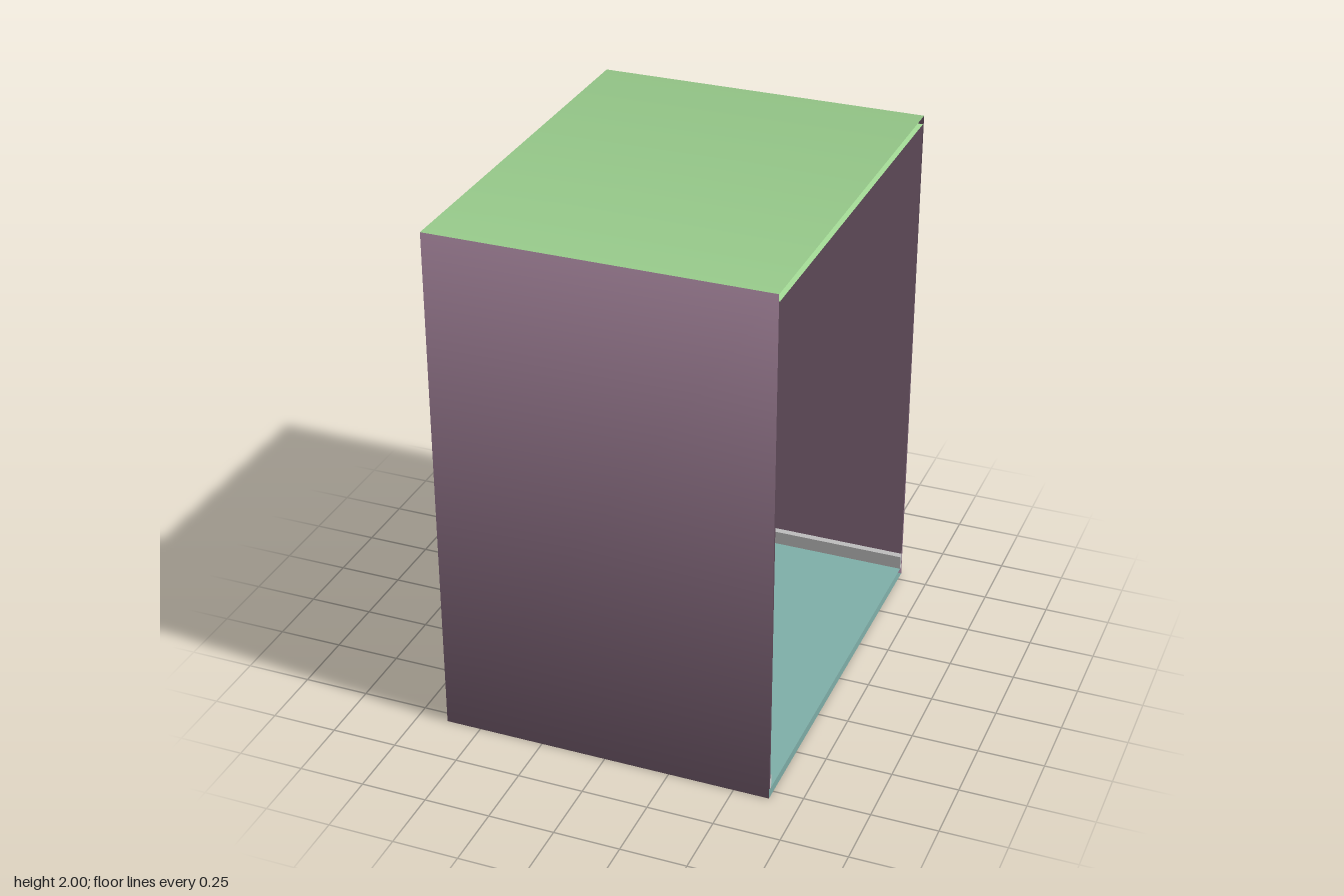
import * as THREE from 'three';

const X = 0.635, Z = 0.795, H = 2;                              // outer shell
const backX = -0.5, sideZ = 0.785, floorY = 0.035, ceilY = 1.97; // inner lining
const V = 0.2;                                                   // half size of the ceiling vent

const mat = (color) => new THREE.MeshStandardMaterial({ color, side: THREE.DoubleSide });
const purple = mat(0x907388), green = mat(0xa8e09a), teal = mat(0x80b0aa), grey = mat(0xcccccc);

export function createModel() {
  const room = new THREE.Group();
  room.name = 'room';

  function add(name, geometry, material, parent = room) {
    const mesh = new THREE.Mesh(geometry, material);
    mesh.name = name;
    parent.add(mesh);
    return mesh;
  }

  // Four-cornered panel, counter-clockwise; optional normals for soft shading
  function quad(corners, normals) {
    const g = new THREE.BufferGeometry();
    g.setAttribute('position', new THREE.Float32BufferAttribute(corners.flat(), 3));
    g.setIndex([0, 1, 2, 0, 2, 3]);
    if (normals) g.setAttribute('normal', new THREE.Float32BufferAttribute(normals.flat(), 3));
    else g.computeVertexNormals();
    return g;
  }

  // Outer shell: four panels around the x axis, softly shaded over the corners
  const ring = [[H, Z], [H, -Z], [0, -Z], [0, Z]];
  const panels = [['roof', green], ['outerBackWall', purple], ['underside', teal], ['outerFrontWall', purple]];
  const s = Math.SQRT1_2;
  panels.forEach(([name, material], i) => {
    const a = ring[i], b = ring[(i + 1) % 4];
    const na = [0, a[0] ? s : -s, Math.sign(a[1]) * s];
    const nb = [0, b[0] ? s : -s, Math.sign(b[1]) * s];
    add(name, quad([[-X, ...a], [X, ...a], [X, ...b], [-X, ...b]], [na, na, nb, nb]), material);
  });
  add('outerEndWall', quad([[-X, 0, -Z], [-X, 0, Z], [-X, H, Z], [-X, H, -Z]]), green);

  // Inner lining, open on the +x side
  add('floor', quad([[backX, floorY, sideZ], [X, floorY, sideZ], [X, floorY, -sideZ], [backX, floorY, -sideZ]]), teal);
  add('innerEndWall', quad([[backX, floorY, sideZ], [backX, floorY, -sideZ], [backX, ceilY, -sideZ], [backX, ceilY, sideZ]]), purple);
  add('innerBackWall', quad([[backX, floorY, -sideZ], [X, floorY, -sideZ], [X, ceilY, -sideZ], [backX, ceilY, -sideZ]]), purple);
  add('innerFrontWall', quad([[X, floorY, sideZ], [backX, floorY, sideZ], [backX, ceilY, sideZ], [X, ceilY, sideZ]]), purple);

  // Ceiling with a square opening for the vent
  const rect = (Type, x0, x1, z) => new Type([[x0, -z], [x1, -z], [x1, z], [x0, z]].map((p) => new THREE.Vector2(...p)));
  const ceilingShape = rect(THREE.Shape, backX, X, sideZ);
  ceilingShape.holes.push(rect(THREE.Path, -V, V, V));
  const ceiling = add('ceiling', new THREE.ShapeGeometry(ceilingShape).rotateX(Math.PI / 2), green);
  ceiling.position.y = ceilY;

  // Vent: backing plate, frame, slats and crossbars
  const vent = new THREE.Group();
  vent.name = 'ceilingVent';
  room.add(vent);
  const bar = (name, w, h, d, x, y, z) => add(name, new THREE.BoxGeometry(w, h, d), grey, vent).position.set(x, y, z);
  bar('ventBacking', 2 * V, 0.004, 2 * V, 0, 1.992, 0);
  for (const side of [-1, 1]) {
    bar('ventFrame', 0.016, 0.028, 2 * V, side * (V - 0.008), 1.98, 0);
    bar('ventFrame', 2 * V, 0.028, 0.016, 0, 1.98, side * (V - 0.008));
  }
  for (let i = 0; i < 9; i++) bar('ventSlat', 0.024, 0.008, 2 * V - 0.03, -0.16 + i * 0.04, 1.974, 0);
  for (let i = -1; i <= 1; i++) bar('ventCrossbar', 2 * V - 0.03, 0.014, 0.012, 0, 1.979, i * 0.1);

  // Skirting boards with a bevelled top edge
  const profile = new THREE.Shape([[0, 0], [0.012, 0], [0.012, 0.055], [0, 0.065]].map((p) => new THREE.Vector2(...p)));
  const boards = [
    ['endSkirting', 2 * sideZ, 0, backX, -sideZ],
    ['frontSkirting', X - backX, Math.PI / 2, backX, sideZ],
    ['backSkirting', X - backX, -Math.PI / 2, X, -sideZ],
  ];
  for (const [name, depth, turn, x, z] of boards) {
    const board = add(name, new THREE.ExtrudeGeometry(profile, { depth, bevelEnabled: false }), grey);
    board.rotation.y = turn;
    board.position.set(x, floorY, z);
  }
  return room;
}
